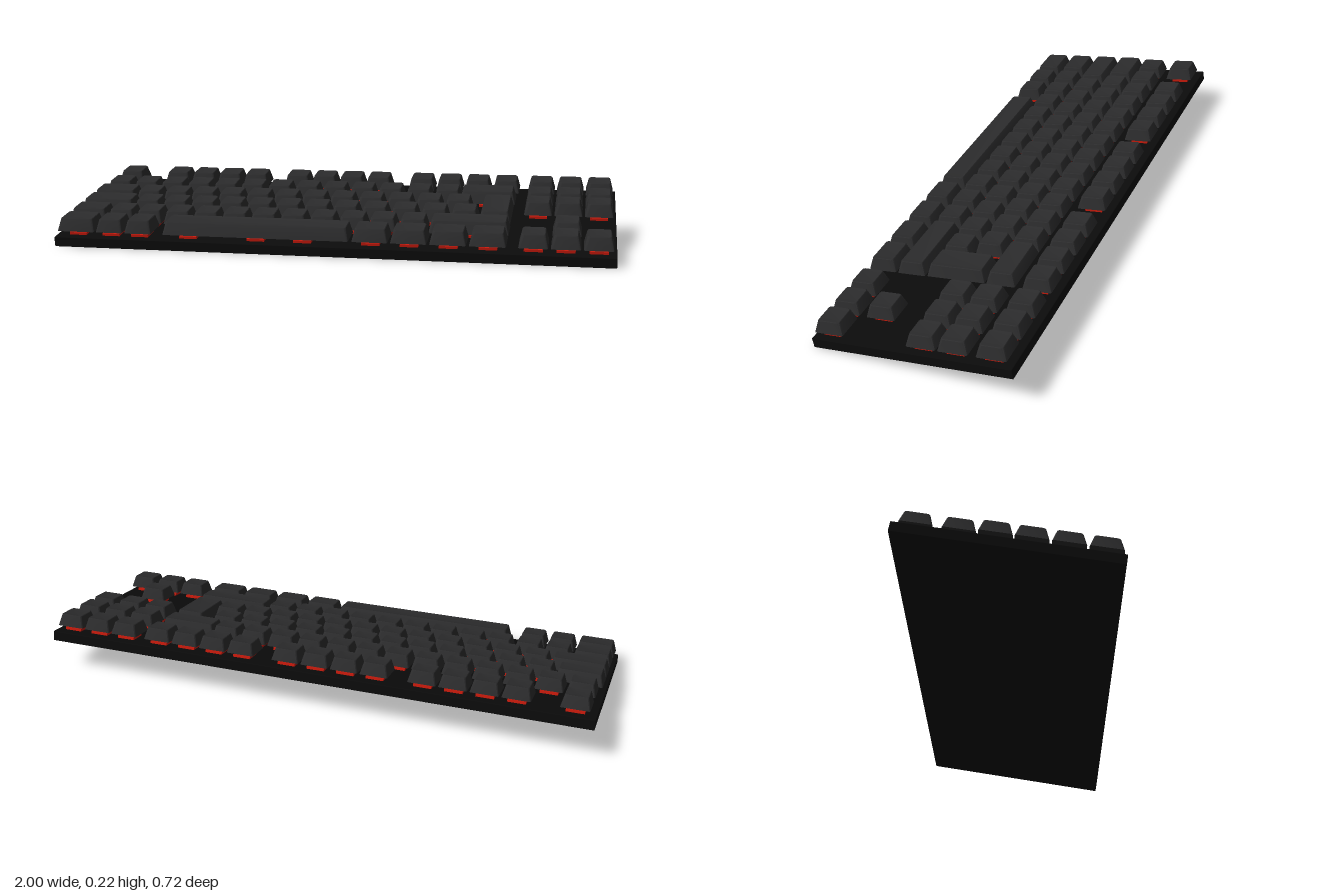
import * as THREE from 'three';
import { toCreasedNormals } from 'three/addons/utils/BufferGeometryUtils.js';
import { RoundedBoxGeometry } from 'three/addons/geometries/RoundedBoxGeometry.js';

const mat = (color) => new THREE.MeshStandardMaterial({ color });
const U = 0.1088;           // key pitch along a row
const CAP = 0.1;            // width of a single key
const DEPTH = 0.107;        // front-to-back size of a key
const BOARD_TOP = 0.018;
const CAP_BOTTOM = 0.0375;
const CAP_TOP = 0.0815;

// Rounded rectangle in plan, with n points per corner
function roundedRing(x0, x1, z0, z1, r, y, n = 4) {
  const pts = [];
  const corners = [[x1 - r, z1 - r], [x0 + r, z1 - r], [x0 + r, z0 + r], [x1 - r, z0 + r]];
  corners.forEach(([cx, cz], q) => {
    for (let i = 0; i < n; i++) {
      const a = (q + i / (n - 1)) * Math.PI / 2;
      pts.push([cx + r * Math.cos(a), y, cz + r * Math.sin(a)]);
    }
  });
  return pts;
}

// Tapered keycap with a steeper back than front and a shallow dished top
function keycapGeometry(w, d) {
  const h = CAP_TOP - CAP_BOTTOM, x = w / 2, z = d / 2;
  const rings = [
    roundedRing(-x, x, -z, z, 0.006, 0),
    roundedRing(-x + 0.01, x - 0.01, -z + 0.0085, z - 0.016, 0.009, h - 0.002),
    roundedRing(-x + 0.012, x - 0.012, -z + 0.01, z - 0.018, 0.008, h),
    roundedRing(-x + 0.024, x - 0.024, -z + 0.018, z - 0.026, 0.007, h - 0.002),
  ];
  const n = rings[0].length, pos = [];
  const tri = (...p) => p.forEach((v) => pos.push(...v));
  const bottom = [0, 0, 0], dish = [0, h - 0.003, -0.004];
  for (let i = 0; i < n; i++) {
    const j = (i + 1) % n;
    for (let k = 0; k < rings.length - 1; k++) {
      const lo = rings[k], hi = rings[k + 1];
      tri(lo[i], hi[i], hi[j]);
      tri(lo[i], hi[j], lo[j]);
    }
    tri(bottom, rings[0][i], rings[0][j]);
    tri(dish, rings[3][j], rings[3][i]);
  }
  const g = new THREE.BufferGeometry();
  g.setAttribute('position', new THREE.Float32BufferAttribute(pos, 3));
  return toCreasedNormals(g, 0.5);
}

// Square frustum
function frustum(top, bottom, h) {
  const g = new THREE.CylinderGeometry(top / Math.SQRT2, bottom / Math.SQRT2, h, 4, 1).toNonIndexed();
  g.rotateY(Math.PI / 4);
  g.computeVertexNormals();
  return g;
}

export function createModel() {
  const model = new THREE.Group();
  model.name = 'keyboard';
  const tilted = new THREE.Group();
  tilted.name = 'tiltedKeyboard';
  tilted.rotation.x = 0.172;
  tilted.position.y = 0.08;
  model.add(tilted);

  const black = mat(0x0b0b0b), capMat = mat(0x2b2b2c), red = mat(0xc81a0c);

  const board = new THREE.Mesh(new RoundedBoxGeometry(2, 0.036, 0.725, 2, 0.002), black);
  board.name = 'baseBoard';
  tilted.add(board);

  // Switch: flange, tapered housing and stem
  const flangeGeo = new THREE.BoxGeometry(0.064, 0.009, 0.064);
  const housingGeo = frustum(0.036, 0.048, 0.009);
  const stemGeo = new THREE.BoxGeometry(0.03, 0.008, 0.03);
  function addSwitch(x, z) {
    const s = new THREE.Group();
    s.name = 'switch';
    [[flangeGeo, 0.0045, 'switchFlange'], [housingGeo, 0.0135, 'switchHousing'], [stemGeo, 0.02, 'switchStem']]
      .forEach(([geo, y, name]) => {
        const m = new THREE.Mesh(geo, red);
        m.name = name;
        m.position.y = y;
        s.add(m);
      });
    s.position.set(x, BOARD_TOP, z);
    tilted.add(s);
  }

  const cache = new Map();
  function addKey(x, z, w = CAP, d = DEPTH, name = 'keycap', switches = [0]) {
    const id = w.toFixed(3) + '_' + d.toFixed(3);
    if (!cache.has(id)) cache.set(id, keycapGeometry(w, d));
    const key = new THREE.Mesh(cache.get(id), capMat);
    key.name = name;
    key.position.set(x, CAP_BOTTOM, z);
    tilted.add(key);
    switches.forEach((dx) => addSwitch(x + dx, z));
  }
  const run = (x, z, count) => {
    for (let i = 0; i < count; i++) addKey(x + i * U, z);
  };
  const wide = (x0, x1, z, name, switches) => addKey((x0 + x1) / 2, z, x1 - x0, DEPTH, name, switches);

  const rowZ = [-0.291, -0.1565, -0.043, 0.069, 0.1835, 0.298];

  // Function row
  run(-0.928, rowZ[0], 1);
  [-0.732, -0.235, 0.262].forEach((x) => run(x, rowZ[0], 4));

  // Number row
  run(-0.928, rowZ[1], 13);
  wide(0.425, 0.632, rowZ[1], 'deleteKey');

  // Upper letter row
  wide(-0.99, -0.822, rowZ[2], 'tabKey');
  run(-0.766, rowZ[2], 12);

  // Home row, with the tall enter key spanning two rows
  wide(-0.99, -0.788, rowZ[3], 'capsLockKey');
  run(-0.732, rowZ[3], 12);
  addKey(0.573, (rowZ[2] + rowZ[3]) / 2, 0.114, DEPTH + rowZ[3] - rowZ[2], 'enterKey');

  // Lower letter row
  wide(-0.99, -0.85, rowZ[4], 'leftShiftKey');
  run(-0.793, rowZ[4], 11);
  wide(0.352, 0.632, rowZ[4], 'rightShiftKey');

  // Bottom row
  wide(-0.99, -0.85, rowZ[5], 'leftControlKey');
  run(-0.793, rowZ[5], 2);
  wide(-0.59, 0.087, rowZ[5], 'spaceBar', [-0.25, 0, 0.17]);
  for (let i = 0; i < 4; i++) {
    const x = 0.162 + i * 0.1355;
    wide(x - 0.063, x + 0.063, rowZ[5], 'modifierKey');
  }

  // Navigation block and arrow keys
  [0, 1, 2, 5].forEach((r) => run(0.722, rowZ[r], 3));
  addKey(0.722 + U, 0.165, CAP, DEPTH, 'upArrowKey');

  return model;
}
